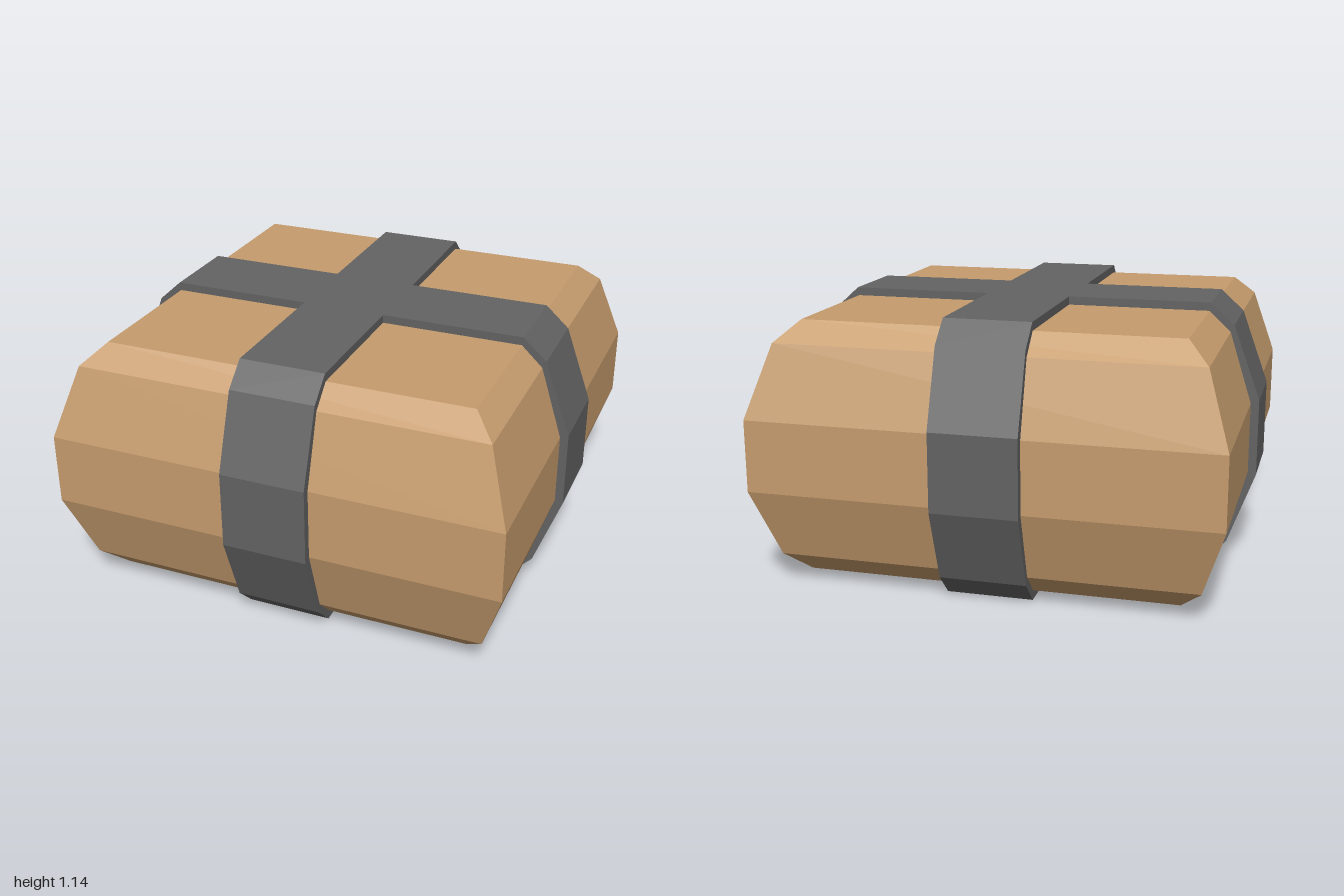
import * as THREE from 'three';

// Half-width and height, from bottom to top
const BODY = [[0.78, 0.04], [0.87, 0.13], [0.965, 0.42], [0.965, 0.72], [0.87, 1.02], [0.78, 1.105]];
const BAND = [[0.785, 0], [0.885, 0.1], [1, 0.41], [1, 0.735], [0.885, 1.05], [0.785, 1.14]];
const BAND_WIDTH = 0.36;

// Closed outline: right side going up, mirrored left side going down
function outline(profile) {
  const right = profile.map(([x, y]) => new THREE.Vector2(x, y));
  const left = profile.map(([x, y]) => new THREE.Vector2(-x, y)).reverse();
  return [...right, ...left];
}

export function createModel() {
  const model = new THREE.Group();
  model.name = 'strappedPackage';
  const wrapMaterial = new THREE.MeshStandardMaterial({ color: 0xc69c6d, flatShading: true });
  const strapMaterial = new THREE.MeshStandardMaterial({ color: 0x636363, flatShading: true });

  // Bulging square body: a four-sided lathe with closed ends
  const points = BODY.map(([x, y]) => new THREE.Vector2(x * Math.SQRT2, y));
  points.unshift(new THREE.Vector2(0, BODY[0][1]));
  points.push(new THREE.Vector2(0, BODY[BODY.length - 1][1]));
  const body = new THREE.Mesh(new THREE.LatheGeometry(points, 4, Math.PI / 4), wrapMaterial);
  body.name = 'packageBody';
  model.add(body);

  // Two crossing straps that hug the body
  const ring = new THREE.Shape(outline(BAND));
  ring.holes.push(new THREE.Path(outline(BODY)));
  const strapGeometry = new THREE.ExtrudeGeometry(ring, { depth: BAND_WIDTH, bevelEnabled: false });
  strapGeometry.translate(0, 0, -BAND_WIDTH / 2);
  [['sideToSideStrap', 0], ['frontToBackStrap', Math.PI / 2]].forEach(([name, angle]) => {
    const strap = new THREE.Mesh(strapGeometry, strapMaterial);
    strap.name = name;
    strap.rotation.y = angle;
    model.add(strap);
  });

  return model;
}
